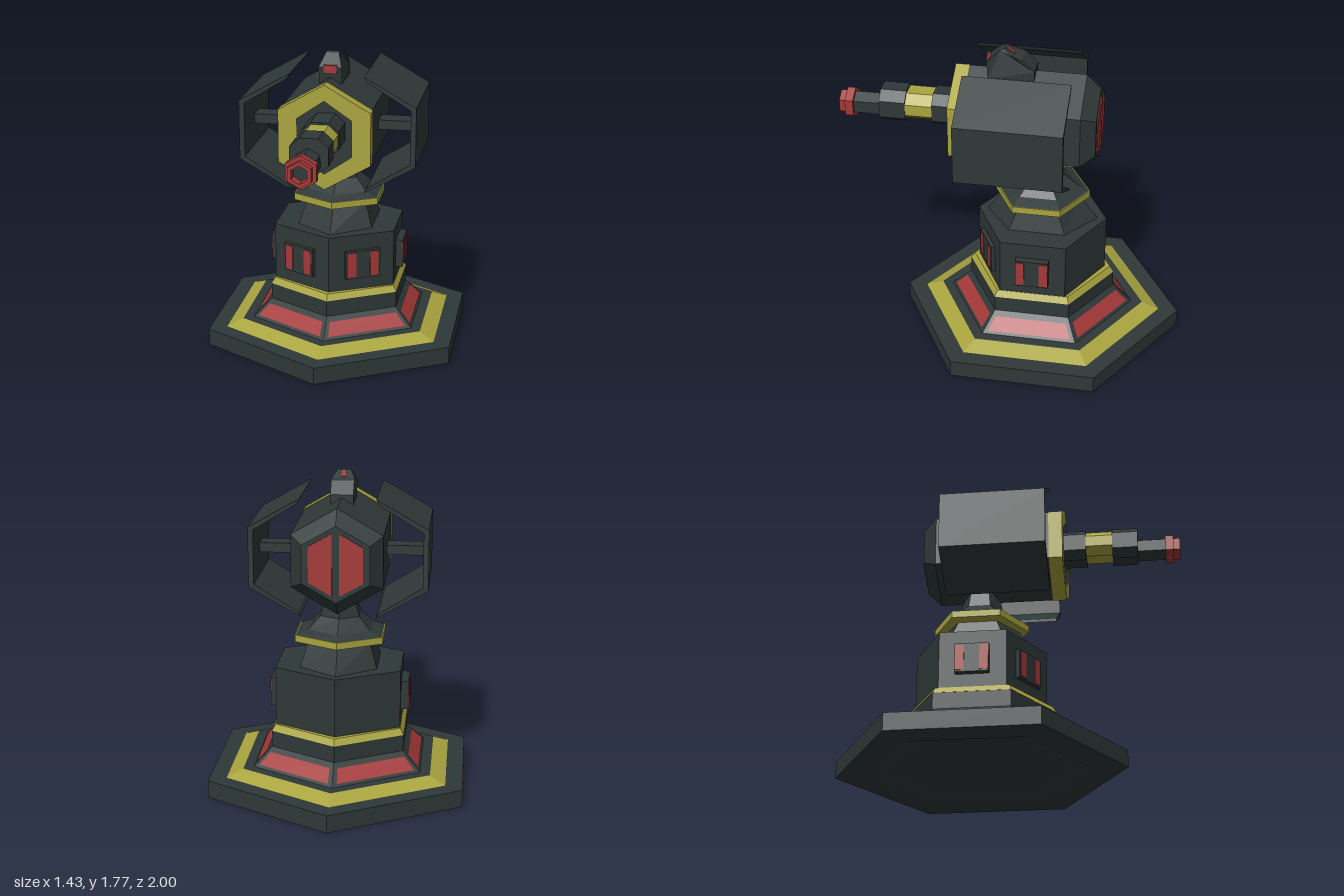
import * as THREE from 'three';

const paint = (name, color) => {
  const m = new THREE.MeshStandardMaterial({ color });
  m.name = name;
  return m;
};

export function createModel() {
  const dark = paint('dark steel', 0x2f3838);
  const yellow = paint('dull yellow', 0xaaa53f);
  const red = paint('signal red', 0xa53838);
  const model = new THREE.Group();
  const CZ = -0.175; // pedestal axis
  const CY = 1.345;  // gun axis

  const add = (name, geo, mat, parent = model) => {
    const mesh = new THREE.Mesh(geo, mat);
    mesh.name = name;
    parent.add(mesh);
    return mesh;
  };

  // Flat-sided geometry from a triangle list of points
  const faceted = (pts) => {
    const g = new THREE.BufferGeometry().setFromPoints(pts);
    g.computeVertexNormals();
    return g;
  };

  // Hexagon ring: flat half-width ax on x, corner radius rz on z
  const hexRing = ([y, ax, rz = ax / 0.866]) =>
    [[0, 1], [1, 0.5], [1, -0.5], [0, -1], [-1, -0.5], [-1, 0.5]]
      .map(([x, z]) => new THREE.Vector3(x * ax, y, z * rz));

  // Capped hexagonal loft along y
  const loft = (profile) => {
    const rings = profile.map(hexRing), pts = [];
    const last = rings[rings.length - 1];
    for (let j = 0; j < rings.length - 1; j++) {
      for (let i = 0; i < 6; i++) {
        const k = (i + 1) % 6;
        const a = rings[j][i], b = rings[j][k], c = rings[j + 1][k], d = rings[j + 1][i];
        pts.push(a, b, c, a, c, d);
      }
    }
    for (let i = 1; i < 5; i++) {
      pts.push(rings[0][0], rings[0][i + 1], rings[0][i]);
      pts.push(last[0], last[i], last[i + 1]);
    }
    return faceted(pts);
  };
  const upright = (name, profile, mat) => add(name, loft(profile).translate(0, 0, CZ), mat);
  const along = (name, profile, mat) =>
    add(name, loft(profile).rotateX(Math.PI / 2).translate(0, CY, 0), mat);

  const shapeOf = (pts) => new THREE.Shape(pts.map(([x, y]) => new THREE.Vector2(x, y)));
  const extrude = (shape, z0, z1) =>
    new THREE.ExtrudeGeometry(shape, { depth: z1 - z0, bevelEnabled: false }).translate(0, 0, z0);

  // Pedestal, from the ground up
  upright('basePlate', [[0.035, 0.45], [0, 0.54], [0, 0.715], [0.1, 0.715], [0.1, 0.6]], dark);
  upright('baseTrim', [[0.099, 0.62], [0.138, 0.53], [0.138, 0.45]], yellow);
  const skirt = [[0.14, 0.473], [0.245, 0.374]];
  upright('skirt', [[0.138, 0.53], [0.14, 0.525], ...skirt, [0.34, 0.374]], dark);
  upright('waistTrim', [[0.34, 0.376], [0.376, 0.355]], yellow);
  upright('tower', [[0.37, 0.353, 0.378], [0.71, 0.353, 0.378], [0.71, 0.217, 0.325],
    [0.85, 0.175, 0.22]], dark);
  upright('collar', [[0.85, 0.248, 0.276], [0.89, 0.248, 0.276]], yellow);
  upright('neck', [[0.889, 0.245, 0.272], [0.915, 0.175, 0.215], [0.985, 0.11, 0.125],
    [1.12, 0.075, 0.1]], dark);

  // Red panels on the six sloped faces of the skirt
  const [low, high] = skirt.map(hexRing);
  for (let i = 0; i < 6; i++) {
    const k = (i + 1) % 6;
    const normal = low[k].clone().sub(low[i]).cross(high[i].clone().sub(low[i])).normalize();
    const at = (u, v) => low[i].clone().lerp(low[k], u)
      .lerp(high[i].clone().lerp(high[k], u), v).addScaledVector(normal, 0.004);
    const [a, b, c, d] = [at(0.05, 0.12), at(0.95, 0.12), at(0.95, 0.74), at(0.05, 0.74)];
    add('skirtPanel', faceted([a, b, c, a, c, d]).translate(0, 0, CZ), red);
  }

  // Window boxes on the front and side faces of the tower
  const windowBox = (x, z, angle, width, depth) => {
    const g = new THREE.Group();
    g.name = 'towerWindow';
    g.position.set(x, 0.535, z + CZ);
    g.rotation.y = angle;
    add('windowFrame', new THREE.BoxGeometry(width, 0.168, depth * 2), dark, g);
    for (const s of [-1, 1]) {
      add('windowBar', new THREE.BoxGeometry(0.05, 0.148, 0.008), red, g)
        .position.set(s * 0.068, 0, depth);
    }
    model.add(g);
  };
  for (const s of [-1, 1]) {
    windowBox(s * 0.353, 0, s * Math.PI / 2, 0.19, 0.04);
    windowBox(s * 0.18, 0.281, s * 0.492, 0.21, 0.025);
  }

  // Turret body and front ring
  along('turretBody', [[-0.495, 0.188, 0.215], [-0.415, 0.255, 0.297], [0.25, 0.255, 0.297]], dark);
  const hexPts = (ax, r) => hexRing([0, ax, r]).map((p) => [p.x, p.z + CY]);
  const ring = shapeOf(hexPts(0.26, 0.3));
  ring.holes.push(shapeOf(hexPts(0.153, 0.209)));
  add('frontRing', extrude(ring, 0.245, 0.325), yellow);

  // Paired rear windows
  for (const s of [-1, 1]) {
    const pane = shapeOf([[0.02, 0.175], [0.15, 0.1], [0.15, -0.1], [0.02, -0.175]]
      .map(([x, y]) => [s * x, y + CY]));
    add('rearWindow', extrude(pane, -0.501, -0.494), red);
  }

  // Side shields on struts
  for (const s of [-1, 1]) {
    const shield = shapeOf([[0.21, 0.335], [0.5, 0.17], [0.5, -0.17], [0.21, -0.335],
      [0.225, -0.307], [0.47, -0.155], [0.47, 0.155], [0.225, 0.307]]
      .map(([x, y]) => [s * x, y + CY]));
    add('sideShield', extrude(shield, -0.357, 0.247), dark);
    add('shieldStrut', new THREE.BoxGeometry(0.25, 0.055, 0.12), dark)
      .position.set(s * 0.36, CY, -0.055);
  }

  // Barrel housing
  const housing = (w, top, bottom) => shapeOf([[0.05, top], [w, top - 0.05], [w, bottom + 0.04],
    [0.05, bottom], [-0.05, bottom], [-w, bottom + 0.04], [-w, top - 0.05], [-0.05, top]]);
  add('barrelRoot', extrude(housing(0.105, 1.468, 1.278), 0.24, 0.45), dark);
  add('barrelBand', extrude(housing(0.102, 1.456, 1.3), 0.45, 0.605), yellow);
  add('barrelSleeve', extrude(housing(0.105, 1.468, 1.278), 0.605, 0.755), dark);
  along('barrel', [[0.7, 0.062, 0.07], [0.92, 0.062, 0.07]], dark);
  along('muzzle', [[0.915, 0.082, 0.092], [0.962, 0.082, 0.092], [0.962, 0.062, 0.072],
    [1, 0.062, 0.072], [1, 0.042, 0.05], [0.94, 0.042, 0.05]], red);
  along('bore', [[0.93, 0.041, 0.049], [0.945, 0.041, 0.049]], dark);

  // Sensor hump, narrowed towards the top
  const side = shapeOf([[0.13, 1.6], [0.14, 1.7], [0.065, 1.768], [0.045, 1.775], [-0.02, 1.737],
    [-0.06, 1.728], [-0.13, 1.66], [-0.13, 1.6]]);
  const hump = extrude(side, -0.065, 0.065).rotateY(-Math.PI / 2);
  const p = hump.attributes.position;
  for (let i = 0; i < p.count; i++) {
    if (p.getY(i) > 1.75) p.setX(i, p.getX(i) * 0.57);
  }
  hump.computeVertexNormals();
  add('sensorHump', hump, dark);
  add('sensorLens', new THREE.BoxGeometry(0.074, 0.046, 0.03), red).position.set(0, 1.688, 0.13);
  const strip = add('sensorStrip', new THREE.BoxGeometry(0.024, 0.008, 0.05), red);
  strip.position.set(0, 1.755, 0.01);
  strip.rotation.x = -0.53;

  return model;
}
